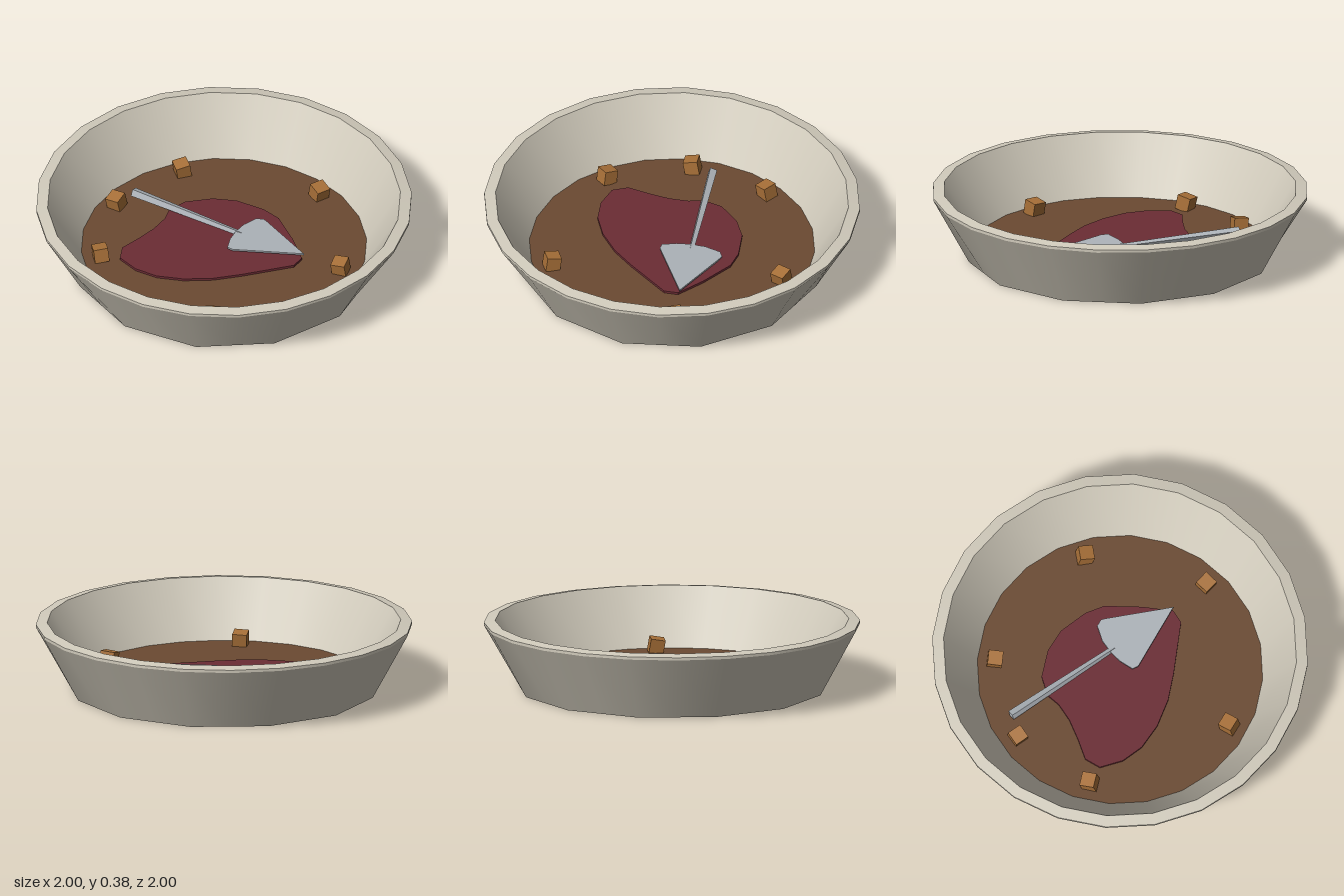
import * as THREE from 'three';

const SIDES = 24;
const material = (color, flatShading = false) => new THREE.MeshStandardMaterial({ color, flatShading });

// Closed outline in plan (x, z pairs) extruded upward from y = 0
function slab(points, depth) {
  const shape = new THREE.Shape(points.map(([x, z]) => new THREE.Vector2(x, -z)));
  const geometry = new THREE.ExtrudeGeometry(shape, { depth, bevelEnabled: false });
  return geometry.rotateX(-Math.PI / 2);
}

export function createModel() {
  const group = new THREE.Group();
  const add = (name, geometry, mat, parent = group) => {
    const mesh = new THREE.Mesh(geometry, mat);
    mesh.name = name;
    parent.add(mesh);
    return mesh;
  };

  const clay = material(0xd0cabb);
  const soil = material(0x6b4a32);
  const sauce = material(0x6b2c34, true);
  const metal = material(0xaeb4ba, true);
  const wood = material(0xa87038, true);

  // Bowl: one smooth band per profile step, so the rim edges stay sharp
  const bowl = new THREE.Group();
  bowl.name = 'bowl';
  group.add(bowl);
  const band = (r0, y0, r1, y1, sides = SIDES) =>
    new THREE.LatheGeometry([new THREE.Vector2(r0, y0), new THREE.Vector2(r1, y1)], sides);

  // The foot has half as many sides as the rim
  const wall = band(0.81, 0, 1, 0.35);
  const pos = wall.attributes.position;
  for (let i = 0; i <= SIDES; i++) {
    if (i % 2 === 0) continue;
    const k = Math.cos(Math.PI / 12);
    pos.setX(i * 2, pos.getX(i * 2) * k);
    pos.setZ(i * 2, pos.getZ(i * 2) * k);
  }
  add('outerWall', wall, clay, bowl);
  add('rimEdge', band(1, 0.35, 1, 0.365), clay, bowl);
  add('rimTop', band(1, 0.365, 0.94, 0.375), clay, bowl);
  add('innerWall', band(0.94, 0.375, 0.76, 0.07), clay, bowl);
  add('base', band(0, 0, 0.81, 0, SIDES / 2), clay, bowl);

  // Filling
  add('filling', new THREE.CircleGeometry(0.76, SIDES).rotateX(-Math.PI / 2), soil).position.y = 0.07;

  // Dark red patch lying on the filling
  const patch = slab([
    [0, -0.38], [-0.13, -0.375], [-0.27, -0.32], [-0.34, -0.235], [-0.35, -0.155],
    [-0.39, -0.06], [-0.455, 0.04], [-0.525, 0.135], [-0.52, 0.225], [-0.42, 0.305],
    [-0.3, 0.345], [-0.155, 0.345], [0, 0.31], [0.14, 0.25], [0.4, 0.12],
    [0.43, 0.05], [0.355, -0.1], [0.245, -0.27], [0.155, -0.33],
  ], 0.018);
  add('redPatch', patch, sauce).position.y = 0.065;

  // Small trowel: slightly tilted blade and a tapered handle
  const trowel = new THREE.Group();
  trowel.name = 'trowel';
  group.add(trowel);
  const blade = slab([
    [0.13, -0.235], [0.17, -0.238], [0.19, -0.22], [0.44, 0.043], [0.06, 0.077],
    [0.03, 0.06], [0.03, -0.02], [0.045, -0.09], [0.075, -0.165],
  ], 0.01);
  const bp = blade.attributes.position;
  for (let i = 0; i < bp.count; i++) bp.setY(i, bp.getY(i) + 0.095 + 0.06 * bp.getZ(i));
  add('blade', blade, metal, trowel);

  const from = new THREE.Vector3(0.08, 0.088, -0.09);
  const to = new THREE.Vector3(-0.55, 0.105, -0.325);
  const handle = new THREE.CylinderGeometry(0.027, 0.015, from.distanceTo(to), 4).rotateY(Math.PI / 4);
  const grip = add('handle', handle, metal, trowel);
  grip.position.copy(from).lerp(to, 0.5);
  grip.quaternion.setFromUnitVectors(new THREE.Vector3(0, 1, 0), to.clone().sub(from).normalize());

  // Scattered cubes: x, z, turn, tilt about x, tilt about z
  const cubes = [
    [-0.335, -0.575, 0.5, 0.15, 0.1],
    [0.42, -0.51, 0.75, 0.15, -0.15],
    [-0.625, -0.23, -0.35, 0.15, 0.15],
    [-0.625, 0.23, 0.35, -0.15, 0.15],
    [0.65, 0.11, -0.15, 0.15, 0.1],
    [0.06, 0.66, 0.05, -0.15, 0.05],
  ];
  const cube = new THREE.BoxGeometry(0.078, 0.078, 0.078);
  for (const [x, z, turn, tiltX, tiltZ] of cubes) {
    const mesh = add('cube', cube, wood);
    mesh.position.set(x, 0.105, z);
    mesh.rotation.set(tiltX, turn, tiltZ, 'XZY');
  }
  return group;
}
